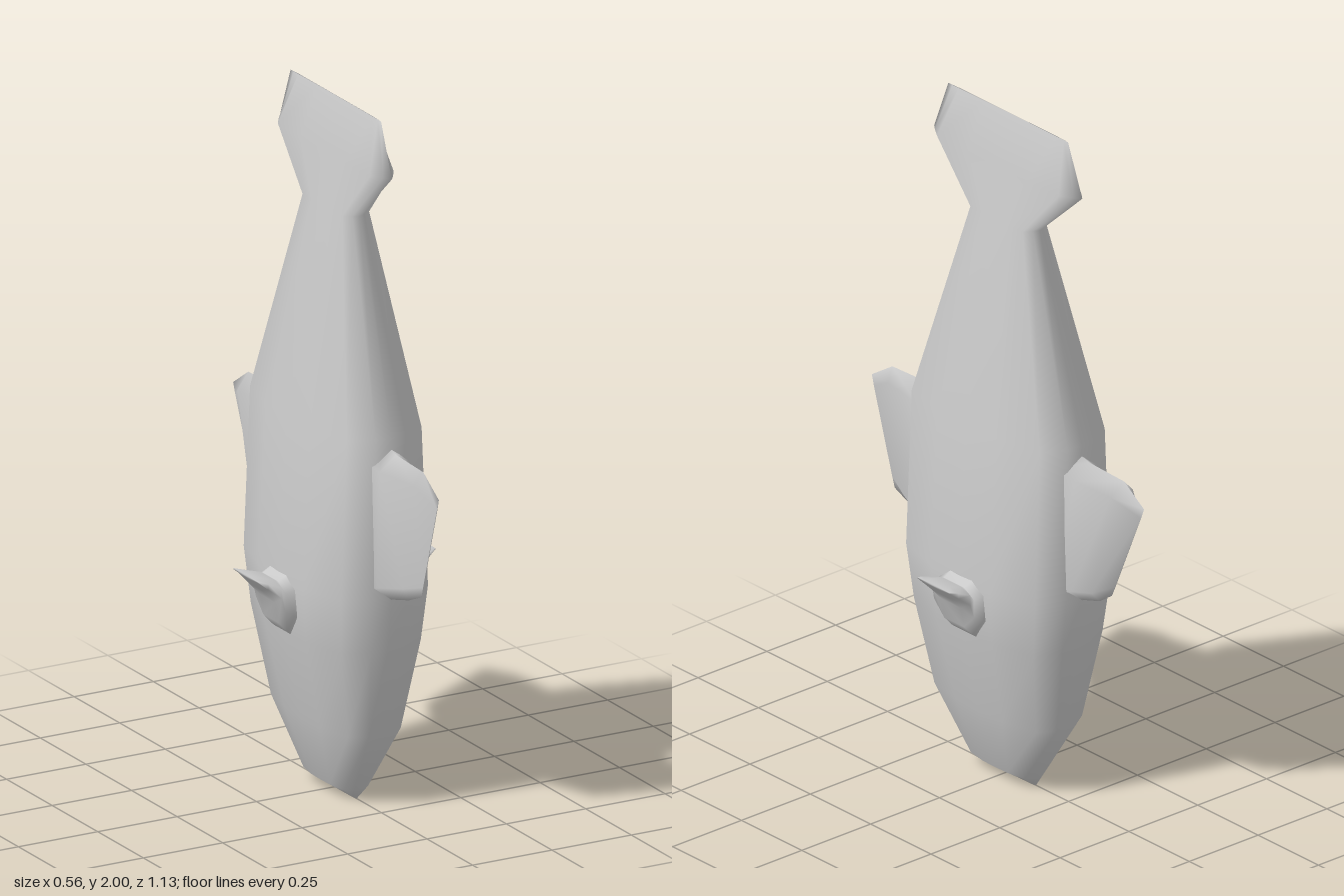
import * as THREE from 'three';

// Skins a list of equal-length closed rings and caps both ends.
function loft(name, rings) {
  const n = rings[0].length;
  const pts = rings.flat();
  const idx = [];
  for (let r = 0; r < rings.length - 1; r++) {
    for (let i = 0; i < n; i++) {
      const a = r * n + i, b = r * n + (i + 1) % n;
      idx.push([a, b, b + n], [a, b + n, a + n]);
    }
  }
  [0, rings.length - 1].forEach((r, end) => {
    const c = pts.length;
    pts.push([0, 1, 2].map(k => rings[r].reduce((s, p) => s + p[k], 0) / n));
    for (let i = 0; i < n; i++) {
      const a = r * n + i, b = r * n + (i + 1) % n;
      idx.push(end ? [a, b, c] : [b, a, c]);
    }
  });
  // Turn faces outward, whichever way the rings run
  const v = pts.map(p => new THREE.Vector3(...p));
  const volume = idx.reduce((s, [a, b, c]) => s + v[a].dot(v[b].clone().cross(v[c])), 0);
  if (volume < 0) idx.forEach(t => t.reverse());
  const geo = new THREE.BufferGeometry().setFromPoints(v);
  geo.setIndex(idx.flat());
  geo.computeVertexNormals();
  const mesh = new THREE.Mesh(geo, new THREE.MeshStandardMaterial({ color: 0xcccccc }));
  mesh.name = name;
  return mesh;
}

// Repeats a quarter outline (from z axis to x axis) around all four quadrants.
function fullSection(q) {
  const back = q.slice(0, -1).reverse().map(([x, z]) => [x, -z]);
  const half = [...q, ...back];
  return [...half, ...half.slice(1, -1).reverse().map(([x, z]) => [-x, z])];
}

const bodySection = fullSection([[0, 1], [0.3, 0.985], [0.76, 0.87], [0.97, 0.4], [1, 0]]);
const tailSection = fullSection([[0, 1], [0.4, 0.93], [0.95, 0.82], [1, 0.4], [1, 0]]);

// Body, nose down, running into the flat tail: [y, half width, half depth]
function makeBody() {
  const stations = [
    [0, 0.004, 0.115], [0.03, 0.05, 0.128], [0.22, 0.11, 0.242],
    [0.48, 0.165, 0.285], [0.64, 0.18, 0.307], [1.1, 0.155, 0.305],
    [1.69, 0.045, 0.132], [1.85, 0.04, 0.307], [2, 0.002, 0.248],
  ];
  return loft('bodyAndTail', stations.map(([y, w, d]) =>
    (y > 1.5 ? tailSection : bodySection).map(([x, z]) => [x * w, y, z * d])));
}

// Tall wedge fin: each section has a low and high [z, y] corner and a half thickness
function makeFin(name, side, sections) {
  return loft(name, sections.map(([low, high, w]) => {
    const at = (x, t) => [
      x, THREE.MathUtils.lerp(low[1], high[1], t), side * THREE.MathUtils.lerp(low[0], high[0], t),
    ];
    return [at(0, 0), at(w, 0.1), at(w, 0.9), at(0, 1), at(-w, 0.9), at(-w, 0.1)];
  }));
}

// Small side fin, flaring outward and up: [x, low y, high y, back z, front z]
function makeSideFin(name, side) {
  const sections = [
    [0.14, 0.46, 0.66, -0.1, 0.08], [0.175, 0.49, 0.655, -0.095, 0.08],
    [0.202, 0.52, 0.64, -0.088, 0.077], [0.212, 0.58, 0.645, -0.084, 0.073],
    [0.25, 0.62, 0.655, -0.079, 0.065], [0.28, 0.653, 0.66, -0.075, 0.058],
  ];
  const outline = [
    [0.25, 0], [0.75, 0], [1, 0.35], [1, 0.8], [0.75, 1], [0.25, 1], [0, 0.8], [0, 0.35],
  ];
  return loft(name, sections.map(([x, y0, y1, z0, z1]) =>
    outline.map(([u, v]) => [side * x, y0 + (y1 - y0) * v, z0 + (z1 - z0) * u])));
}

export function createModel() {
  const fish = new THREE.Group();
  fish.name = 'fish';
  fish.add(makeBody());
  fish.add(makeFin('frontFin', 1, [
    [[0.26, 0.61], [0.26, 1.08], 0.065],
    [[0.31, 0.635], [0.33, 1.06], 0.05],
    [[0.4, 0.66], [0.48, 1.055], 0.024],
    [[0.47, 0.69], [0.565, 1.0], 0.001],
  ]));
  fish.add(makeFin('backFin', -1, [
    [[0.26, 0.61], [0.26, 1.08], 0.065],
    [[0.315, 0.635], [0.335, 1.06], 0.05],
    [[0.38, 0.655], [0.48, 1.055], 0.04],
    [[0.43, 0.69], [0.563, 1.0], 0.001],
  ]));
  fish.add(makeSideFin('leftFin', 1), makeSideFin('rightFin', -1));
  return fish;
}
